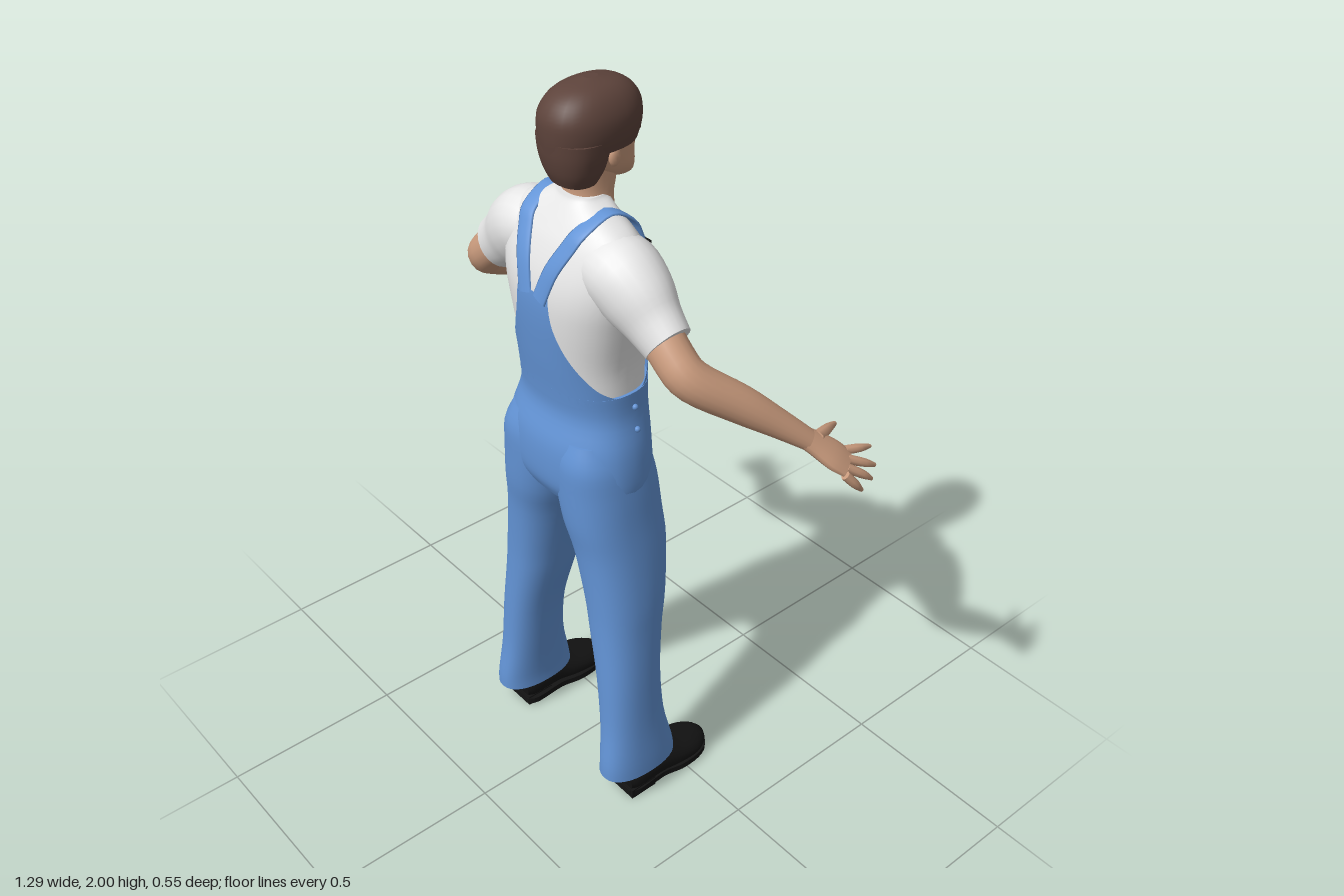
import * as THREE from 'three';

const V = (x, y, z) => new THREE.Vector3(x, y, z);
const mat = (name, color, side = THREE.FrontSide) => {
  const m = new THREE.MeshStandardMaterial({ color, side });
  m.name = name;
  return m;
};

// Catmull-Rom resampling of a table of numeric rows
function smooth(rows, n = 4) {
  const out = [], last = rows.length - 1;
  for (let i = 0; i < last; i++) {
    const [a, b, c, d] = [rows[Math.max(0, i - 1)], rows[i], rows[i + 1], rows[Math.min(last, i + 2)]];
    for (let k = 0; k < n; k++) {
      const t = k / n;
      out.push(b.map((_, j) => b[j] + 0.5 * t * (c[j] - a[j] + t * (2 * a[j] - 5 * b[j] + 4 * c[j] - d[j]
        + t * (3 * (b[j] - c[j]) + d[j] - a[j])))));
    }
  }
  out.push(rows[last]);
  return out;
}

// linear lookup in a table keyed by its first column
function lookup(rows, y) {
  let i = 0;
  while (i < rows.length - 2 && rows[i + 1][0] < y) i++;
  const a = rows[i], b = rows[i + 1];
  const t = THREE.MathUtils.clamp((y - a[0]) / (b[0] - a[0]), 0, 1);
  return a.map((v, j) => v + (b[j] - v) * t);
}

// skin over closed rings, with flat end caps; s = -1 mirrors in x
function loft(rings, s = 1) {
  const pos = [], idx = [], n = rings[0].length;
  const add = p => pos.push(p.x * s, p.y, p.z) / 3 - 1;
  const tri = (a, b, c) => (s > 0 ? idx.push(a, b, c) : idx.push(a, c, b));
  rings.forEach(r => r.forEach(add));
  for (let i = 0; i < rings.length - 1; i++) {
    for (let j = 0; j < n; j++) {
      const a = i * n + j, b = i * n + (j + 1) % n;
      tri(a, a + n, b);
      tri(b, a + n, b + n);
    }
  }
  [rings[0], rings[rings.length - 1]].forEach((r, end) => {
    const mid = add(r.reduce((m, p) => m.add(p), V(0, 0, 0)).divideScalar(n));
    const c = r.map(add);
    c.forEach((v, j) => (end ? tri(mid, c[(j + 1) % n], v) : tri(mid, v, c[(j + 1) % n])));
  });
  const g = new THREE.BufferGeometry();
  g.setAttribute('position', new THREE.Float32BufferAttribute(pos, 3));
  g.setIndex(idx);
  g.computeVertexNormals();
  return g;
}

// level rings from rows [y, x0, x1, z0, z1]
const E = 2.3;
const pw = v => Math.sign(v) * Math.abs(v) ** (2 / E);
const levels = (rows, n = 28) => smooth(rows).map(([y, x0, x1, z0, z1]) =>
  Array.from({ length: n }, (_, j) => {
    const a = j / n * Math.PI * 2;
    return V((x0 + x1) / 2 + (x1 - x0) / 2 * pw(Math.cos(a)), y, (z0 + z1) / 2 + (z1 - z0) / 2 * pw(Math.sin(a)));
  }));
const sym = rows => rows.map(([y, w, z0, z1]) => [y, -w, w, z0, z1]);

// rings along a path of rows [x, y, z, ra, rb]; ra lies along the hint
function limb(rows, hint, n = 14, k = 4) {
  const r = smooth(rows, k), pts = r.map(p => V(p[0], p[1], p[2]));
  return pts.map((p, i) => {
    const t = pts[Math.min(i + 1, pts.length - 1)].clone().sub(pts[Math.max(i - 1, 0)]).normalize();
    const u = hint.clone().addScaledVector(t, -hint.dot(t)).normalize(), v = u.clone().cross(t);
    return Array.from({ length: n }, (_, j) => {
      const a = j / n * Math.PI * 2;
      return p.clone().addScaledVector(u, r[i][3] * Math.cos(a)).addScaledVector(v, r[i][4] * Math.sin(a));
    });
  });
}

const TORSO = [
  [1.2, .172, .004, .238], [1.27, .17, .002, .245], [1.35, .172, -.002, .255], [1.45, .192, -.005, .264],
  [1.52, .208, 0, .264], [1.58, .216, .012, .252], [1.64, .208, .035, .228], [1.68, .178, .055, .205],
  [1.71, .12, .066, .186], [1.732, .072, .068, .172], [1.742, .06, .07, .168]];
const TORSO_FINE = smooth(TORSO);

// z of the shirt surface, pushed out by off; side -1 is the chest, +1 the back
function bodyZ(x, y, side, off) {
  const [, w, z0, z1] = lookup(TORSO_FINE, y);
  const q = Math.min(1, Math.abs(x) / (w + off));
  return (z0 + z1) / 2 + side * ((z1 - z0) / 2 + off) * (1 - q ** E) ** (1 / E);
}

// cloth panel lying on the torso, outline rows [y, half width]
function panel(outline, side) {
  const rows = smooth(outline, 5), n = 20, pos = [], idx = [];
  rows.forEach(([y, hw], i) => {
    const W = lookup(TORSO_FINE, y)[1] + .007, reach = Math.asin(Math.min(1, hw / W));
    for (let j = 0; j <= n; j++) {
      const x = W * Math.sin((j / n * 2 - 1) * reach);
      pos.push(x, y, bodyZ(x, y, side, .007));
      if (i && j) {
        const d = i * (n + 1) + j, b = d - n - 1;
        if (side > 0) idx.push(b - 1, b, d, b - 1, d, d - 1);
        else idx.push(b - 1, d, b, b - 1, d - 1, d);
      }
    }
  });
  const g = new THREE.BufferGeometry();
  g.setAttribute('position', new THREE.Float32BufferAttribute(pos, 3));
  g.setIndex(idx);
  g.computeVertexNormals();
  return g;
}

export function createModel() {
  const root = new THREE.Group();
  root.name = 'workman';
  const skin = mat('skin', 0xcb9c7e), hair = mat('hair', 0x5d433b), shirt = mat('shirt', 0xe9e9e9);
  const denim = mat('denim', 0x6394d6, THREE.DoubleSide), black = mat('black', 0x141414);
  const add = (name, geo, m, x = 0, y = 0, z = 0) => {
    const o = new THREE.Mesh(geo, m);
    o.name = name;
    o.position.set(x, y, z);
    root.add(o);
    return o;
  };

  // head and neck
  add('neck', loft(levels(sym([[1.69, .075, .05, .17], [1.73, .06, .045, .16], [1.77, .056, .035, .16], [1.84, .056, .04, .17]]))), skin);
  add('head', loft(levels(sym([[1.752, .022, -.012, .03], [1.765, .042, -.02, .07], [1.79, .06, -.019, .12],
    [1.82, .07, -.016, .16], [1.86, .077, -.016, .18], [1.9, .078, -.016, .19], [1.94, .065, 0, .18]]))), skin);
  add('nose', loft(limb([[0, 1.868, -.014, .006, .005], [0, 1.845, -.021, .009, .009], [0, 1.832, -.025, .013, .011],
    [0, 1.824, -.018, .008, .006]], V(1, 0, 0), 10)), skin);
  const lips = add('mouth', new THREE.SphereGeometry(.018, 12, 8), skin, 0, 1.797, -.015);
  lips.scale.set(1, .3, .4);

  // hair: cap with a parted fringe, and the back of the head
  const cap = levels(sym([[1.852, .086, -.02, .214], [1.89, .094, -.031, .218], [1.93, .092, -.033, .216],
    [1.965, .076, -.018, .195], [1.988, .05, .015, .158], [2, .012, .07, .105]]));
  cap.forEach(r => r.forEach(p => {
    if (p.y < 1.92 && p.z < .02) p.y += Math.max(0, .05 - Math.abs(p.x + .015)) * (1.92 - p.y) / .07;
  }));
  add('hairCap', loft(cap), hair);
  add('hairBack', loft(levels(sym([[1.77, .058, .095, .188], [1.8, .074, .08, .202], [1.84, .085, .065, .212], [1.88, .09, .05, .216]]))), hair);

  // shirt body
  add('shirtBody', loft(levels(sym(TORSO), 40)), shirt);

  // overalls
  add('overallHips', loft(levels(sym([[.95, .19, .03, .25], [.99, .212, .01, .268], [1.05, .213, -.001, .273],
    [1.12, .203, -.003, .268], [1.2, .182, -.004, .246], [1.27, .178, -.006, .252]]), 40)), denim);
  add('bibFront', panel([[1.24, .18], [1.27, .17], [1.31, .148], [1.37, .128], [1.45, .118], [1.565, .108]], -1), denim);
  add('bibBack', panel([[1.24, .18], [1.27, .172], [1.3, .15], [1.35, .118], [1.4, .09], [1.46, .066], [1.53, .055]], 1), denim);

  for (const s of [1, -1]) {
    const side = s > 0 ? 'left' : 'right';

    // face details and ears
    add(side + 'Ear', new THREE.SphereGeometry(.02, 12, 8), skin, s * .077, 1.835, .085).scale.set(.5, 1.2, .8);
    const brow = add(side + 'Eyebrow', new THREE.BoxGeometry(.034, .006, .006), hair, s * .031, 1.868, -.0145);
    brow.rotation.y = -s * .1;
    add(side + 'Eye', new THREE.BoxGeometry(.02, .007, .005), black, s * .03, 1.852, -.0135);

    // sleeve and arm
    const up = V(.6, .8, 0);
    add(side + 'Sleeve', loft(limb([[.1, 1.6, .135, .075, .085], [.16, 1.595, .135, .095, .094], [.22, 1.555, .133, .094, .084],
      [.27, 1.515, .132, .078, .066], [.318, 1.48, .132, .067, .056]], up, 24), s), shirt);
    add(side + 'Arm', loft(limb([[.27, 1.515, .132, .055, .05], [.34, 1.455, .135, .052, .05], [.388, 1.41, .118, .05, .05],
      [.45, 1.34, .025, .044, .046], [.5, 1.28, -.05, .032, .036], [.54, 1.23, -.11, .022, .028]], up, 18), s), skin);

    // hand
    const across = V(1, -.7, 1);
    add(side + 'Palm', loft(limb([[.525, 1.248, -.088, .024, .02], [.55, 1.217, -.125, .034, .019],
      [.58, 1.183, -.16, .042, .017], [.602, 1.158, -.184, .038, .012]], across), s), skin);
    const fingers = {
      Thumb: [[.545, 1.225, -.135], [.525, 1.215, -.19], [.507, 1.2, -.237]],
      Index: [[.578, 1.178, -.2], [.588, 1.172, -.24], [.59, 1.162, -.275]],
      Middle: [[.594, 1.166, -.19], [.613, 1.146, -.232], [.62, 1.128, -.264]],
      Ring: [[.608, 1.155, -.176], [.627, 1.13, -.212], [.634, 1.107, -.24]],
      Little: [[.62, 1.147, -.16], [.633, 1.118, -.183], [.637, 1.092, -.205]],
    };
    for (const [name, p] of Object.entries(fingers)) {
      const radii = name === 'Thumb' ? [.018, .013, .006] : [.012, .011, .005];
      add(side + name, loft(limb(p.map((q, i) => [...q, radii[i], radii[i]]), across, 8, 3), s), skin);
    }

    // shoulder strap with its buckle
    const on = (x, y, b) => [x, y, bodyZ(x, y, b, .006), .024, .005];
    add(side + 'Strap', loft(limb([on(.026, 1.515, 1), on(.05, 1.59, 1), on(.076, 1.65, 1), on(.092, 1.69, 1),
      [.1, 1.722, .125, .024, .005], on(.106, 1.69, -1), on(.104, 1.645, -1), on(.096, 1.59, -1)], V(1, 0, 0), 10), s), denim);
    const zb = bodyZ(.095, 1.58, -1, .013);
    add(side + 'BuckleClip', new THREE.BoxGeometry(.036, .022, .012), black, s * .095, 1.603, zb + .004);
    add(side + 'BuckleStem', new THREE.BoxGeometry(.016, .03, .01), black, s * .095, 1.582, zb);
    add(side + 'BuckleLoop', new THREE.BoxGeometry(.04, .016, .012), black, s * .095, 1.56, zb - .002);

    // side buttons
    for (const y of [1.17, 1.23]) {
      add(side + 'HipButton', new THREE.SphereGeometry(.008, 10, 8), denim, s * (y < 1.2 ? .19 : .181), y, .11);
    }

    // trouser leg
    add(side + 'TrouserLeg', loft(levels([[.09, .168, .298, .022, .26], [.14, .168, .295, .03, .258], [.25, .158, .285, .054, .245],
      [.4, .138, .275, .06, .24], [.55, .102, .262, .04, .237], [.65, .08, .255, .02, .238], [.8, .043, .238, 0, .247],
      [.9, .012, .226, .002, .262], [1, -.002, .215, .01, .268], [1.08, .015, .2, .03, .268], [1.14, .04, .17, .05, .25]], 32), s), denim);

    // shoe: upper, sole and heel
    add(side + 'Shoe', loft(limb([[.236, .058, .2, .045, .046], [.236, .062, .17, .056, .052], [.236, .062, .08, .055, .052],
      [.234, .05, .02, .062, .042], [.231, .04, -.04, .06, .034], [.229, .034, -.08, .042, .026], [.228, .03, -.1, .018, .014]],
    V(1, 0, 0), 20), s), black);
    const sole = smooth([[.2, .04], [.17, .054], [.08, .05], [.02, .062], [-.04, .06], [-.08, .044], [-.102, .015]], 3);
    const outline = new THREE.Shape([...sole.map(([z, w]) => new THREE.Vector2(w, -z)),
      ...sole.slice().reverse().map(([z, w]) => new THREE.Vector2(-w, -z))]);
    const soleMesh = add(side + 'Sole', new THREE.ExtrudeGeometry(outline, { depth: .018, bevelEnabled: false }), black, s * .232, .008, 0);
    soleMesh.rotation.x = -Math.PI / 2;
    add(side + 'Heel', new THREE.BoxGeometry(.09, .03, .085), black, s * .236, .015, .155);
  }
  return root;
}
